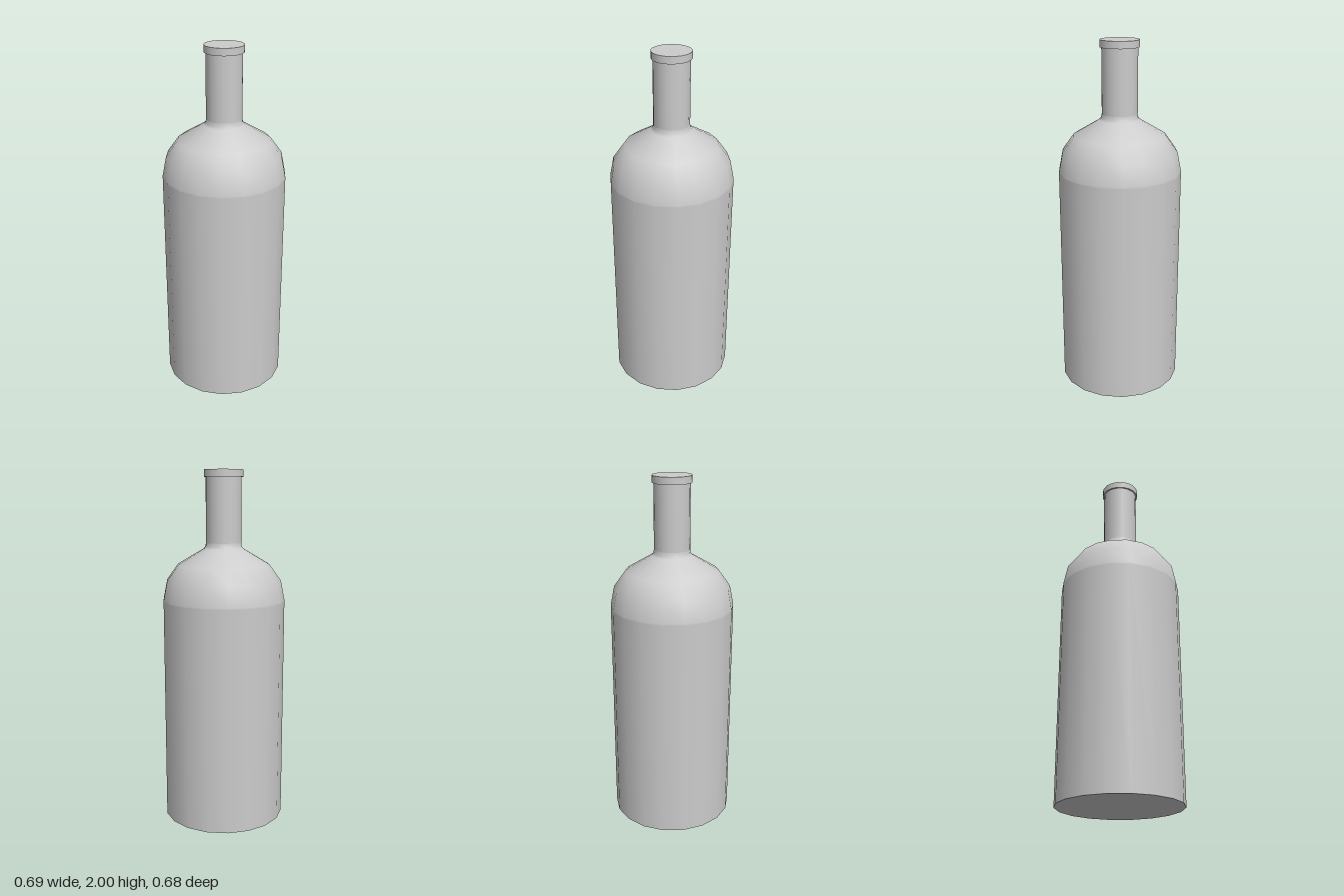
import * as THREE from 'three';

const SIDES = 18;
const material = new THREE.MeshStandardMaterial({ color: 0xcccccc });

// Revolve a profile (listed bottom to top) with a corner of the polygon on the x axis
function turned(name, profile) {
  const points = profile.map(([r, y]) => new THREE.Vector2(r, y));
  const mesh = new THREE.Mesh(new THREE.LatheGeometry(points, SIDES, Math.PI / 18), material);
  mesh.name = name;
  return mesh;
}

export function createModel() {
  const group = new THREE.Group();
  group.name = 'bottle';

  const R = 0.347, NECK = 0.1, LIP = 0.109;

  // Separate surfaces keep the rims sharp; each one is smooth within itself
  group.add(
    turned('base', [[0, 0], [R, 0]]),
    turned('bodyWall', [[R, 0], [R, 1.27]]),
    turned('shoulder', [[R, 1.27], [R, 1.28], [0.325, 1.39], [0.26, 1.48], [0.113, 1.567], [0.103, 1.58], [NECK, 1.6]]),
    turned('neck', [[NECK, 1.6], [NECK, 1.96]]),
    turned('lipUnderside', [[NECK, 1.96], [LIP, 1.96]]),
    turned('lip', [[LIP, 1.96], [LIP, 2]]),
    turned('top', [[LIP, 2], [0, 2]]),
  );
  return group;
}
